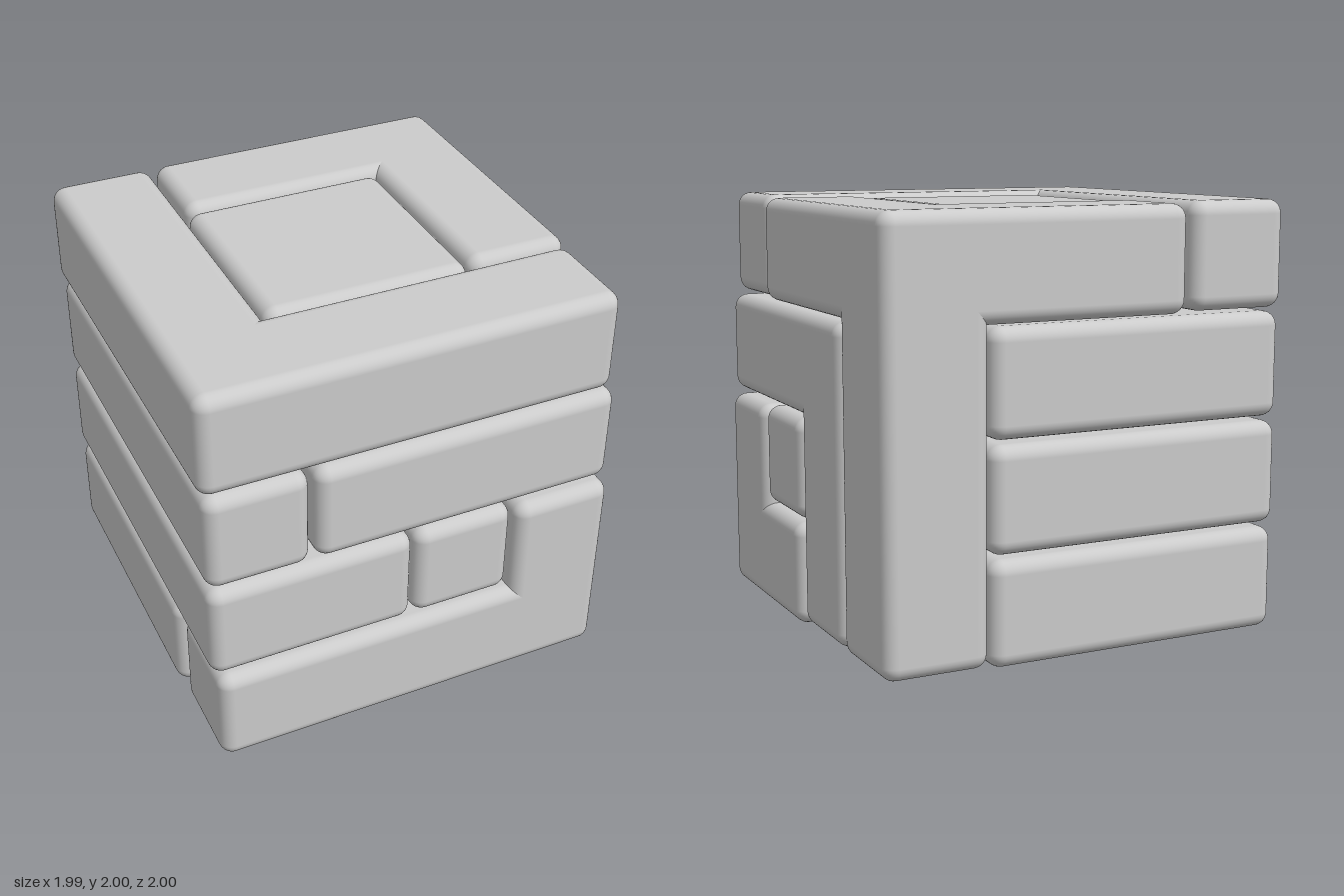
import * as THREE from 'three';
import { RoundedBoxGeometry } from 'three/addons/geometries/RoundedBoxGeometry.js';

const RADIUS = 0.065;
const material = new THREE.MeshStandardMaterial({ color: 0xcccccc });

// One rounded bar given by its [min, max] range on each axis
function bar(name, [x0, x1], [y0, y1], [z0, z1]) {
  const geometry = new RoundedBoxGeometry(x1 - x0, y1 - y0, z1 - z0, 4, RADIUS);
  const mesh = new THREE.Mesh(geometry, material);
  mesh.name = name;
  mesh.position.set((x0 + x1) / 2, (y0 + y1) / 2, (z0 + z1) / 2);
  return mesh;
}

// A puzzle piece: bars that overlap at their corners, which gives mitred inner corners
function piece(name, ...bars) {
  const group = new THREE.Group();
  group.name = name;
  bars.forEach((ranges, i) => group.add(bar(`${name}Bar${i + 1}`, ...ranges)));
  return group;
}

export function createModel() {
  const model = new THREE.Group();
  model.name = 'interlockingPuzzleCube';

  model.add(
    // Top layer: flat L along the front and the -x side
    piece('topFrontPiece',
      [[-1, -0.51], [1.51, 2], [-0.975, 0.98]],
      [[-1, 0.95], [1.51, 2], [0.49, 0.98]]),

    // Top layer: three arms meeting at the back corner
    piece('topBackCornerPiece',
      [[-0.475, 0.985], [1.505, 1.99], [-1, -0.51]],
      [[0.495, 0.985], [1.505, 1.99], [-1, 0.455]],
      [[0.495, 0.985], [0.03, 1.99], [-1, -0.51]]),

    // Square core showing in the middle of the top
    piece('corePiece',
      [[-0.49, 0.485], [1, 1.98], [-0.505, 0.475]]),

    // Third layer: front bar, side bar and a leg down the side
    piece('upperFrontPiece',
      [[-0.48, 0.98], [1.01, 1.49], [0.49, 0.98]],
      [[0.5, 0.98], [1.01, 1.49], [-0.485, 0.98]],
      [[0.5, 0.98], [0.03, 1.49], [-0.485, 0]]),

    // Third layer: flat L along the -x side and the back
    piece('upperBackPiece',
      [[-0.985, -0.505], [1.01, 1.495], [-0.98, 0.98]],
      [[-0.985, 0.48], [1.01, 1.495], [-0.98, -0.5]]),

    // Second layer: wide plate with a notch at the front
    piece('lowerBackPiece',
      [[-0.985, -0.01], [0.51, 0.99], [-0.98, 0.98]],
      [[-0.985, 0.48], [0.51, 0.99], [-0.98, -0.01]]),

    // Second layer: small bent piece with an end on two faces
    piece('smallBentPiece',
      [[0, 0.49], [0.51, 0.99], [0.01, 0.98]],
      [[0, 0.98], [0.51, 0.99], [0.015, 0.505]]),

    // Bottom layer: three arms meeting at the front corner
    piece('bottomFrontCornerPiece',
      [[-0.96, 0.99], [0, 0.49], [0.515, 1]],
      [[0.505, 0.99], [0, 0.98], [0.515, 1]],
      [[0.505, 0.99], [0, 0.49], [0.03, 1]]),

    // Bottom layer: square slab
    piece('bottomSlab',
      [[-0.98, 0.48], [0.01, 0.49], [-0.98, 0.48]]),
  );

  return model;
}
